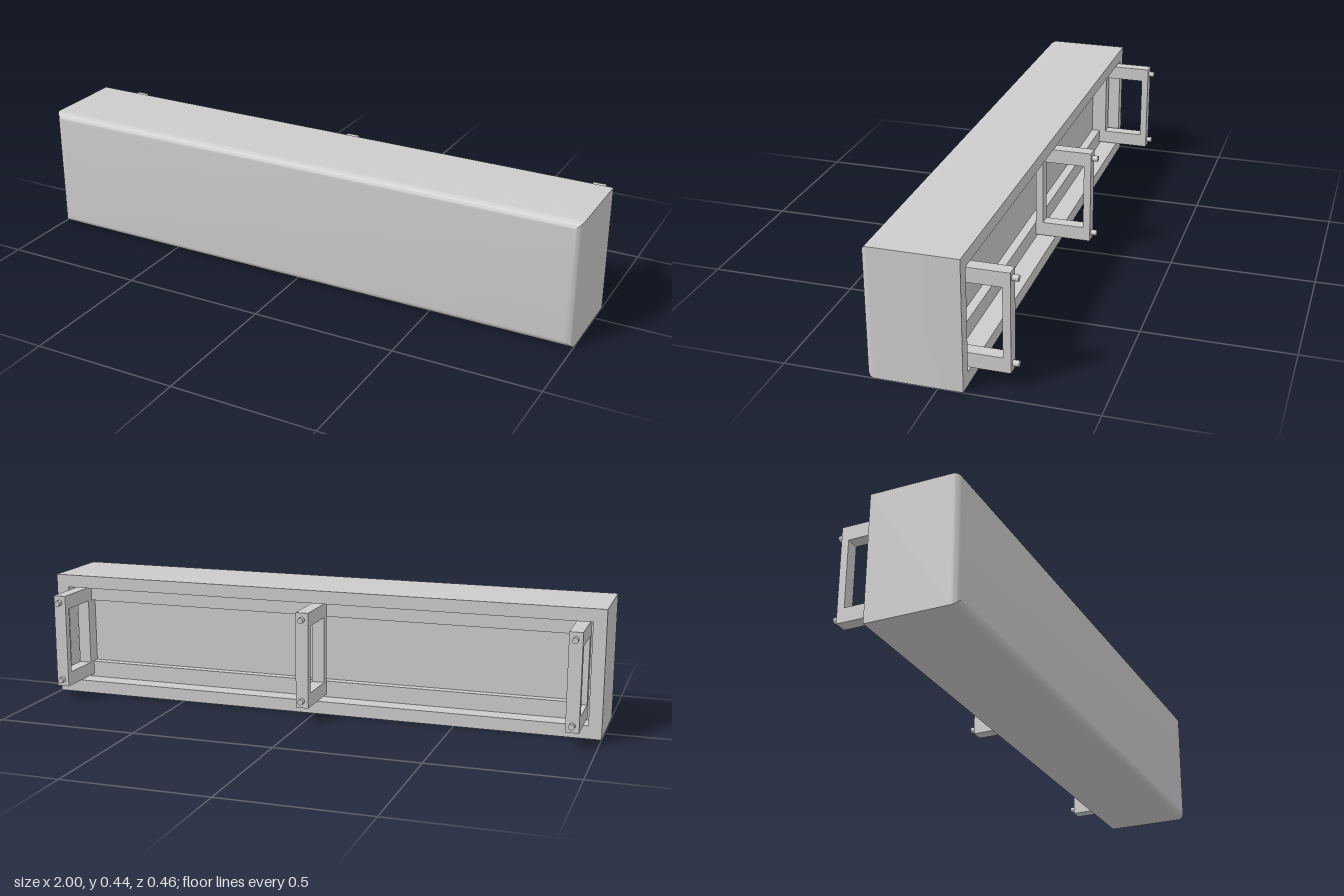
import * as THREE from 'three';
import { toCreasedNormals } from 'three/addons/utils/BufferGeometryUtils.js';

const material = new THREE.MeshStandardMaterial({ color: 0xcccccc });
const HEIGHT = 0.44, MID_Y = HEIGHT / 2;
const BACK = -0.08, FRONT = 0.23, ROUND = 0.028;
const WALL = 0.045, RAIL_BACK = -0.013, PANEL = 0.018;

function part(name, geometry) {
  const mesh = new THREE.Mesh(geometry, material);
  mesh.name = name;
  return mesh;
}

// Lofts rectangles given as [inset, z], closing both ends with flat caps
function loftBox(rings) {
  const pos = [], index = [];
  for (const [inset, z] of rings) {
    const x = 1 - inset, y = MID_Y - inset;
    pos.push(-x, MID_Y - y, z, x, MID_Y - y, z, x, MID_Y + y, z, -x, MID_Y + y, z);
  }
  for (let r = 0; r < rings.length - 1; r++) {
    for (let i = 0; i < 4; i++) {
      const a = r * 4 + i, b = r * 4 + (i + 1) % 4;
      index.push(a, a + 4, b, b, a + 4, b + 4);
    }
  }
  const e = (rings.length - 1) * 4;
  index.push(0, 1, 2, 0, 2, 3, e, e + 2, e + 1, e, e + 3, e + 2);
  const g = new THREE.BufferGeometry();
  g.setAttribute('position', new THREE.Float32BufferAttribute(pos, 3));
  g.setIndex(index);
  return toCreasedNormals(g, 0.5);
}

// Rectangular frame with a rectangular window, extruded along z
function frame(w, h, windowW, windowH, depth) {
  const rect = (path, a, b) => path.moveTo(-a / 2, -b / 2).lineTo(a / 2, -b / 2)
    .lineTo(a / 2, b / 2).lineTo(-a / 2, b / 2).closePath();
  const shape = rect(new THREE.Shape(), w, h);
  shape.holes.push(rect(new THREE.Path(), windowW, windowH));
  return new THREE.ExtrudeGeometry(shape, { depth, bevelEnabled: false });
}

export function createModel() {
  const model = new THREE.Group();
  model.name = 'wallBox';

  // Shell: rounded front, square back rim, recessed inner panel
  const rings = [];
  for (let i = 0; i <= 8; i++) {
    const t = (i / 8) * Math.PI / 2;
    rings.push([ROUND * (1 - Math.sin(t)), FRONT - ROUND * (1 - Math.cos(t))]);
  }
  rings.push([0, BACK], [WALL, BACK], [WALL, PANEL]);
  model.add(part('shell', loftBox(rings)));

  // Rail frame set inside the open back
  const innerW = 2 - 2 * WALL, innerH = HEIGHT - 2 * WALL;
  const rails = part('innerRails', frame(innerW, innerH, 1.8, 0.234, PANEL - RAIL_BACK));
  rails.position.set(0, MID_Y, RAIL_BACK);
  model.add(rails);

  // Three wall brackets with a pair of pegs each
  const width = 0.045, zBack = -0.21, depth = RAIL_BACK - zBack;
  const frameGeo = frame(depth, 0.333, depth - 0.05, 0.234, width);
  frameGeo.translate(0, 0, -width / 2).rotateY(Math.PI / 2);
  const pegGeo = new THREE.CylinderGeometry(0.01, 0.01, 0.02, 16).rotateX(Math.PI / 2);
  for (const x of [-0.92, 0, 0.92]) {
    const bracket = new THREE.Group();
    bracket.name = 'bracket';
    bracket.position.set(x, MID_Y + 0.001, 0);
    const body = part('bracketFrame', frameGeo);
    body.position.z = (zBack + RAIL_BACK) / 2;
    bracket.add(body);
    for (const side of [-1, 1]) {
      const peg = part('peg', pegGeo);
      peg.position.set(0, side * 0.142, zBack - 0.01);
      bracket.add(peg);
    }
    model.add(bracket);
  }
  return model;
}
